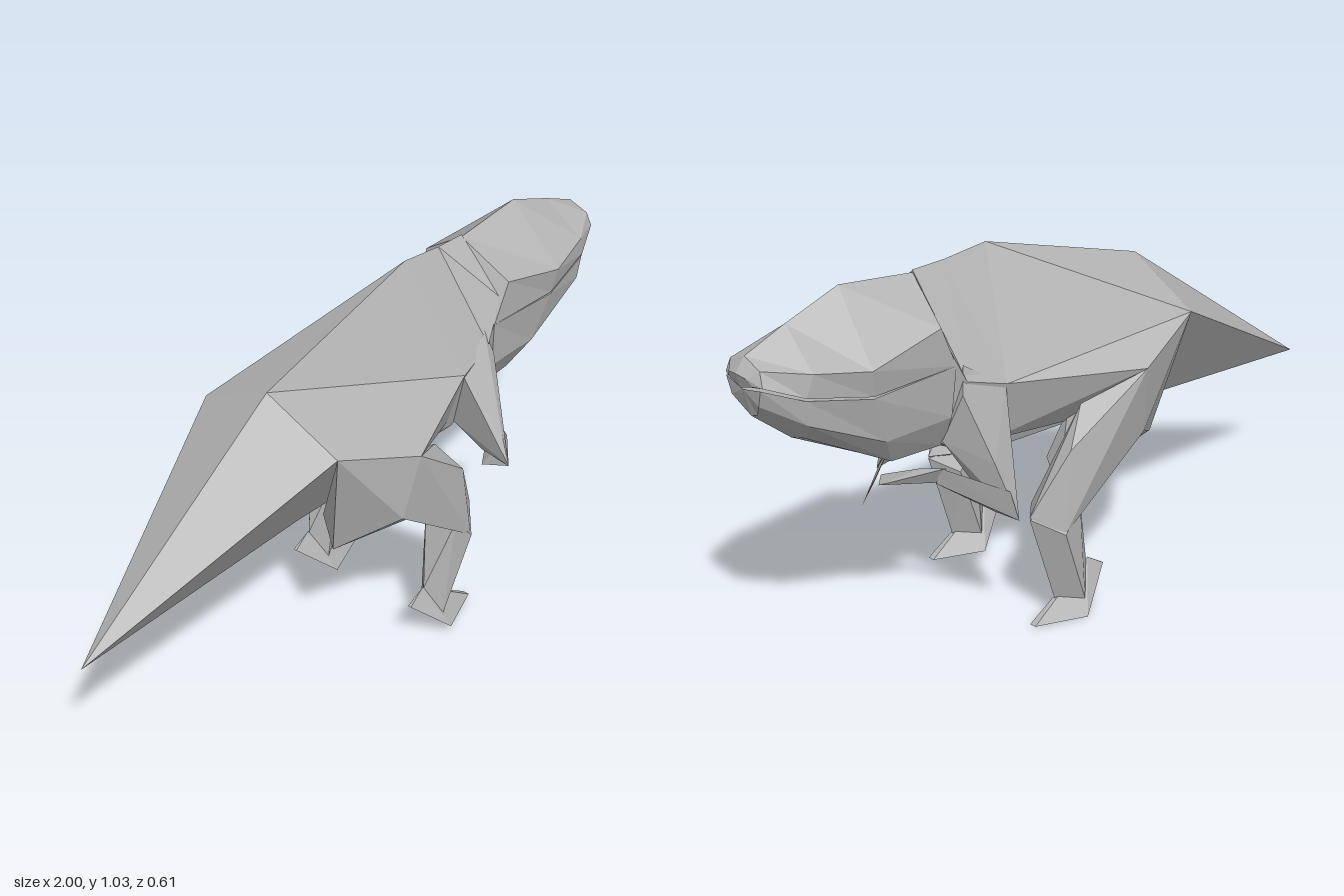
import * as THREE from 'three';
import { ConvexGeometry } from 'three/addons/geometries/ConvexGeometry.js';

export function createModel() {
  const model = new THREE.Group();
  model.name = 'dinosaur';
  const grey = new THREE.MeshStandardMaterial({ color: 0xb4b4b4, flatShading: true, side: THREE.DoubleSide });
  grey.name = 'plain grey';

  function add(name, geometry, parent = model) {
    const mesh = new THREE.Mesh(geometry, grey);
    mesh.name = name;
    parent.add(mesh);
  }

  // Faceted chunk of a limb
  function chunk(name, points, parent) {
    add(name, new ConvexGeometry(points.map(p => new THREE.Vector3(...p))), parent);
  }

  // Skin over half sections (ridge to underside), mirrored across z = 0
  function loft(name, sections) {
    const rings = sections.map(half => [
      ...half,
      ...half.slice(1, -1).reverse().map(([x, y, z]) => [x, y, -z])
    ]);
    const n = rings[0].length, pos = [];
    const tri = (a, b, c) => pos.push(...a, ...b, ...c);
    for (let i = 0; i < rings.length - 1; i++) {
      for (let j = 0; j < n; j++) {
        const k = (j + 1) % n;
        tri(rings[i][j], rings[i][k], rings[i + 1][k]);
        tri(rings[i][j], rings[i + 1][k], rings[i + 1][j]);
      }
    }
    const first = rings[0], last = rings[rings.length - 1];
    for (let j = 1; j < n - 1; j++) {
      tri(first[0], first[j + 1], first[j]);
      tri(last[0], last[j], last[j + 1]);
    }
    const geo = new THREE.BufferGeometry();
    geo.setAttribute('position', new THREE.Float32BufferAttribute(pos, 3));
    geo.computeVertexNormals();
    add(name, geo);
  }

  // Tail, torso and neck, with a keel-shaped underside
  const tip = [-1, 0.397, 0];
  loft('body', [
    [tip, tip, tip, tip],
    [[-0.32, 0.875, 0], [-0.31, 0.765, 0.23], [-0.24, 0.45, 0.03], [-0.24, 0.445, 0]],
    [[0.22, 1.03, 0], [0.29, 0.705, 0.16], [0.31, 0.505, 0.1], [0.24, 0.455, 0]],
    [[0.36, 1.015, 0], [0.41, 0.74, 0.145], [0.43, 0.55, 0.1], [0.42, 0.525, 0]],
    [[0.46, 1.012, 0], [0.47, 0.86, 0.135], [0.46, 0.57, 0.08], [0.46, 0.535, 0]]
  ]);

  // Skull and upper jaw
  loft('upperJaw', [
    [[0.46, 1.005, 0], [0.49, 0.905, 0.145], [0.44, 0.79, 0.14], [0.44, 0.79, 0]],
    [[0.69, 1.03, 0], [0.71, 0.855, 0.153], [0.7, 0.782, 0.14], [0.7, 0.782, 0]],
    [[0.85, 0.972, 0], [0.86, 0.88, 0.12], [0.88, 0.822, 0.115], [0.88, 0.82, 0]],
    [[0.97, 0.922, 0], [0.97, 0.9, 0.06], [0.975, 0.862, 0.075], [0.975, 0.845, 0]],
    [[0.998, 0.885, 0], [0.993, 0.88, 0.035], [0.985, 0.862, 0.05], [0.985, 0.845, 0]]
  ]);

  // Lower jaw, leaving a narrow mouth slit
  loft('lowerJaw', [
    [[0.44, 0.79, 0], [0.44, 0.79, 0.14], [0.45, 0.65, 0.13], [0.44, 0.555, 0.08], [0.44, 0.535, 0]],
    [[0.7, 0.776, 0], [0.7, 0.776, 0.139], [0.65, 0.64, 0.118], [0.6, 0.555, 0.07], [0.6, 0.545, 0]],
    [[0.88, 0.815, 0], [0.88, 0.815, 0.113], [0.87, 0.745, 0.108], [0.85, 0.69, 0.05], [0.85, 0.675, 0]],
    [[0.98, 0.84, 0], [0.978, 0.855, 0.07], [0.975, 0.81, 0.055], [0.96, 0.775, 0.025], [0.96, 0.765, 0]]
  ]);

  // Hind legs: the right knee, shin and foot stand slightly lower and further in
  for (const side of [1, -1]) {
    const leg = new THREE.Group();
    leg.name = side > 0 ? 'leftLeg' : 'rightLeg';
    model.add(leg);
    const place = pts => pts.map(([x, y, z]) => [x, y, z * side]);
    const lower = pts => side > 0 ? pts : pts.map(([x, y, z]) => [x + 0.01, y - 0.027, -z + 0.032]);
    chunk('flank', place([
      [-0.31, 0.765, 0.23], [-0.07, 0.69, 0.305], [0.29, 0.705, 0.16], [0.3, 0.53, 0.1],
      [0.08, 0.57, 0.16], [-0.12, 0.54, 0.2], [-0.25, 0.6, 0.08]
    ]), leg);
    chunk('hip', [
      ...place([[-0.31, 0.765, 0.23], [-0.07, 0.69, 0.305], [-0.24, 0.41, 0.15],
        [-0.2, 0.47, 0.08], [0.08, 0.57, 0.16], [0.1, 0.42, 0.1]]),
      ...lower([[-0.12, 0.51, 0.288], [0.1, 0.368, 0.19]])
    ], leg);
    chunk('thigh', [
      ...place([[-0.07, 0.69, 0.305], [0.09, 0.61, 0.22], [-0.02, 0.55, 0.13]]),
      ...lower([[0.14, 0.53, 0.28], [-0.12, 0.51, 0.288], [0.24, 0.35, 0.23],
        [0.1, 0.37, 0.28], [0.11, 0.37, 0.18], [0.19, 0.36, 0.18], [0.17, 0.3, 0.292]])
    ], leg);
    chunk('shin', lower([
      [0.11, 0.368, 0.285], [0.11, 0.368, 0.18], [0.24, 0.345, 0.23], [0.17, 0.3, 0.295], [0.17, 0.3, 0.176],
      [0.04, 0.16, 0.235], [0.08, 0.07, 0.275], [0.08, 0.07, 0.195], [0.155, 0.08, 0.235]
    ]), leg);
    chunk('foot', lower([
      [-0.02, 0.13, 0.24], [-0.02, 0.13, 0.23], [0.035, 0.165, 0.235], [0.155, 0.08, 0.235],
      [0.09, 0.027, 0.297], [0.09, 0.027, 0.17], [0.235, 0.029, 0.245], [0.235, 0.029, 0.225]
    ]), leg);
  }

  // Left arm, elbow held outwards
  chunk('leftUpperArm', [
    [0.29, 0.7, 0.155], [0.41, 0.78, 0.13], [0.43, 0.71, 0.15], [0.45, 0.57, 0.1],
    [0.33, 0.52, 0.27], [0.32, 0.455, 0.3], [0.33, 0.46, 0.2], [0.32, 0.52, 0.1]
  ]);
  chunk('leftForearm', [
    [0.32, 0.455, 0.3], [0.36, 0.52, 0.26], [0.33, 0.41, 0.2], [0.47, 0.48, 0.12], [0.48, 0.42, 0.15]
  ]);
  chunk('leftHand', [
    [0.46, 0.48, 0.12], [0.47, 0.43, 0.15], [0.49, 0.39, 0.145], [0.6, 0.383, 0.06]
  ]);

  // Right arm, elbow dropped and hand reaching across
  chunk('rightUpperArm', [
    [0.29, 0.7, -0.155], [0.41, 0.78, -0.13], [0.43, 0.71, -0.15], [0.45, 0.57, -0.09],
    [0.37, 0.52, -0.2], [0.315, 0.35, -0.23], [0.32, 0.345, -0.14], [0.32, 0.5, -0.12]
  ]);
  chunk('rightForearm', [
    [0.315, 0.35, -0.23], [0.32, 0.345, -0.14], [0.34, 0.44, -0.225], [0.45, 0.49, -0.08], [0.45, 0.44, -0.06]
  ]);
  chunk('rightHand', [
    [0.44, 0.49, -0.09], [0.44, 0.44, -0.06], [0.47, 0.48, -0.03], [0.59, 0.46, 0], [0.52, 0.44, 0.08]
  ]);

  return model;
}
